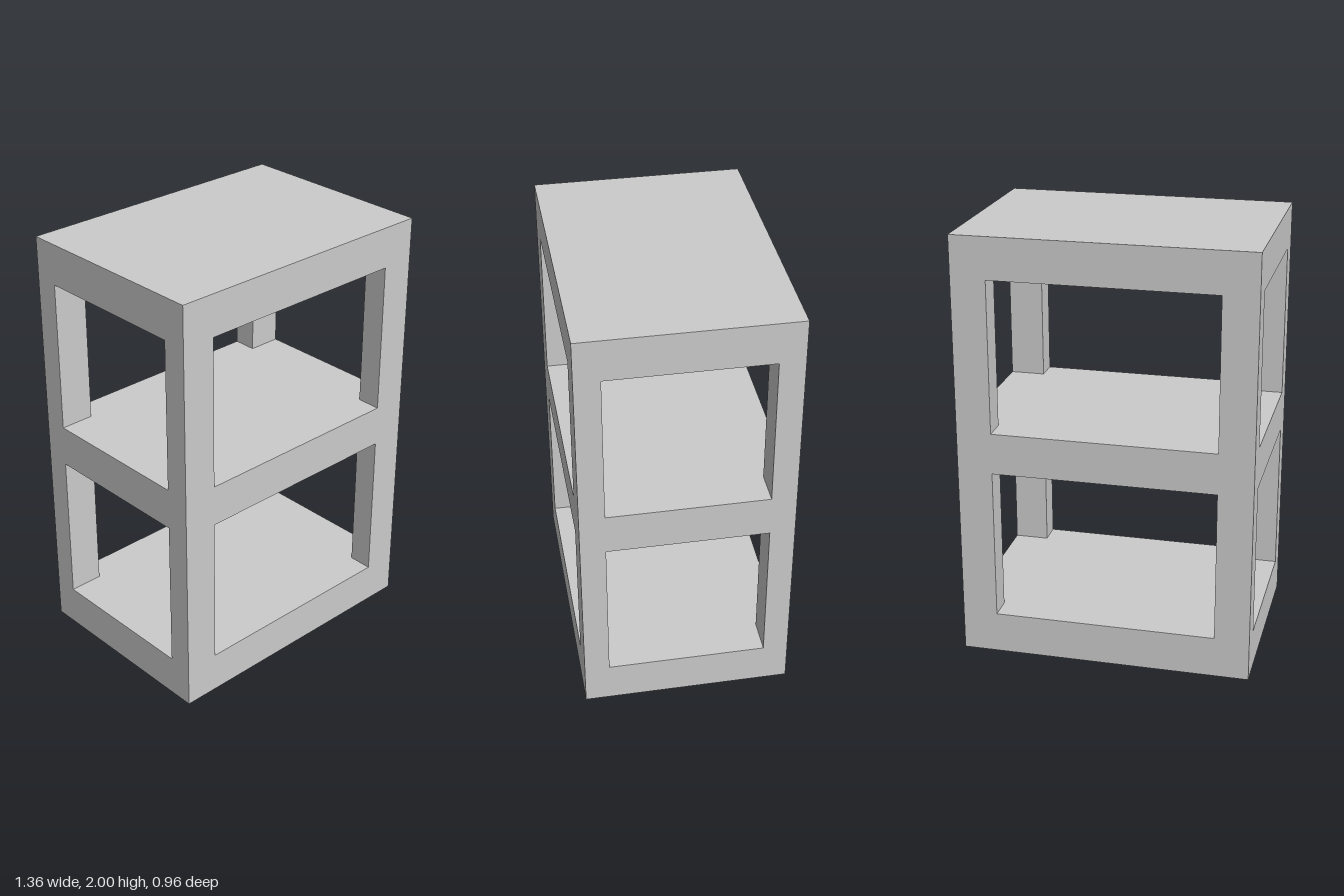
import * as THREE from 'three';

const WIDTH = 1.356, DEPTH = 0.962, HEIGHT = 2;
const SLAB = 0.193;            // shelf thickness
const POST_W = 0.162, POST_D = 0.115;

export function createModel() {
  const group = new THREE.Group();
  group.name = 'shelfUnit';
  const material = new THREE.MeshStandardMaterial({ color: 0xcccccc, flatShading: true });

  const addBox = (name, w, h, d, x, y, z) => {
    const mesh = new THREE.Mesh(new THREE.BoxGeometry(w, h, d), material);
    mesh.name = name;
    mesh.position.set(x, y, z);
    group.add(mesh);
  };

  // Three solid slabs: base, middle shelf and top
  const pitch = (HEIGHT - SLAB) / 2;
  ['base', 'middleShelf', 'top'].forEach((name, i) =>
    addBox(name, WIDTH, SLAB, DEPTH, 0, SLAB / 2 + i * pitch, 0));

  // Corner posts between the slabs, flush with the outer faces
  const postHeight = pitch - SLAB;
  ['lower', 'upper'].forEach((level, i) => {
    const y = SLAB + postHeight / 2 + i * pitch;
    for (const sx of [-1, 1]) {
      for (const sz of [-1, 1]) {
        const name = level + (sz > 0 ? 'Front' : 'Back') + (sx > 0 ? 'Left' : 'Right') + 'Post';
        addBox(name, POST_W, postHeight, POST_D,
          sx * (WIDTH - POST_W) / 2, y, sz * (DEPTH - POST_D) / 2);
      }
    }
  });

  return group;
}
